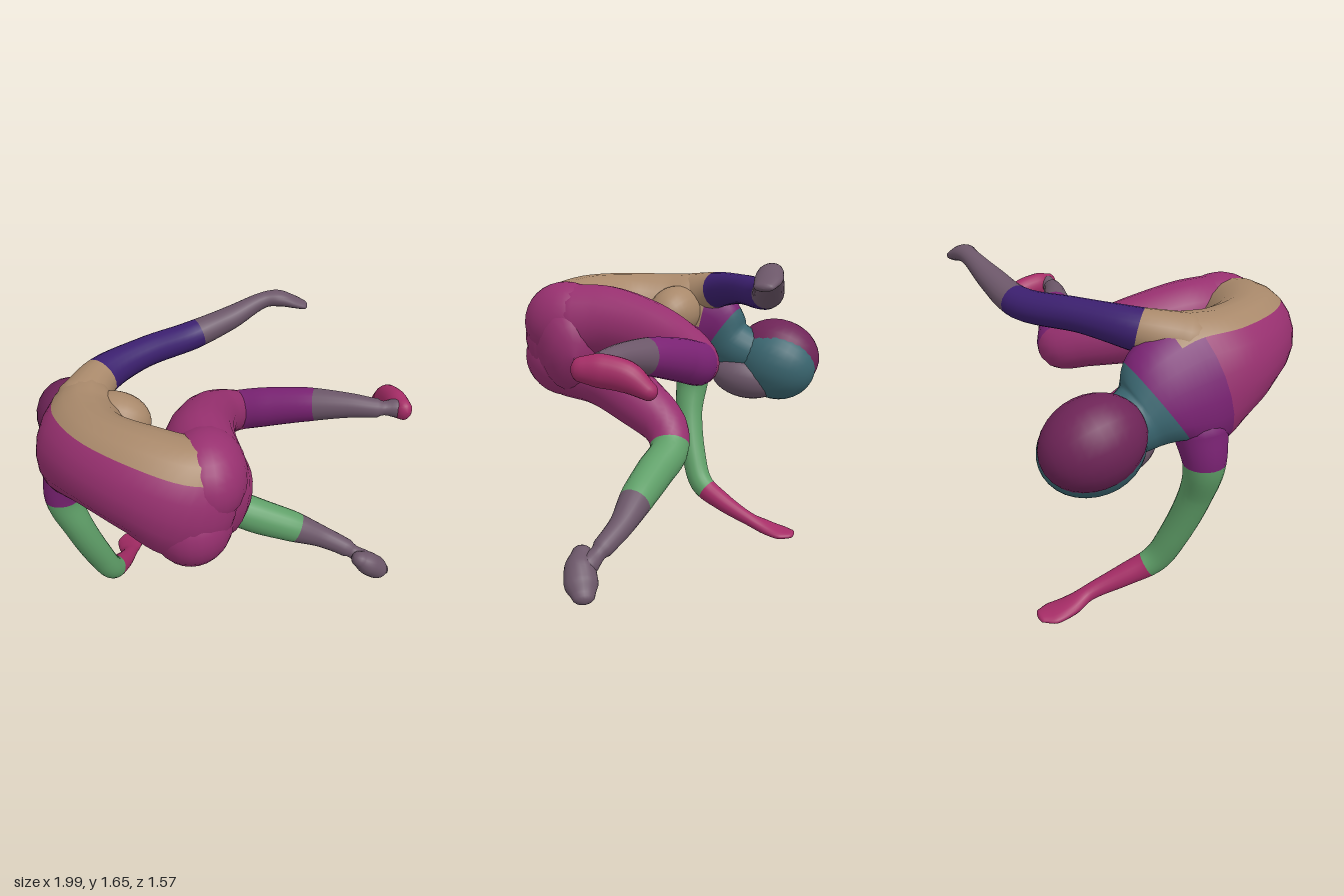
import * as THREE from 'three';

const V = (a) => new THREE.Vector3(a[0], a[1], a[2]);
const SIDES = 20, STEPS = 6;
const MAGENTA = 0x97306f, PURPLE = 0x7a2273, OLIVE = 0xa8886a, GREEN = 0x5f9f68,
  GREY = 0x6b5668, INDIGO = 0x3b1f6e, TEAL = 0x3a6670, PINK = 0xa52c66;

function addMesh(parent, geometry, color, name) {
  const mesh = new THREE.Mesh(geometry, new THREE.MeshStandardMaterial({ color }));
  mesh.name = name;
  parent.add(mesh);
}

// Loft through sections [x, y, z, radius along up, radius across].
// paint(u, angle) picks the colour of each face; every colour becomes a mesh.
function loft(name, sections, paint, upA = [0, 1, 0], upB = upA) {
  const path = new THREE.CatmullRomCurve3(sections.map(V));
  const radii = new THREE.CatmullRomCurve3(sections.map((s) => new THREE.Vector3(s[3], s[4], 0)));
  const rows = [];
  const n = (sections.length - 1) * STEPS;
  const row = (u, scale, shift) => {
    const t = path.getTangent(u), r = radii.getPoint(u);
    const up = V(upA).lerp(V(upB), u);
    up.addScaledVector(t, -up.dot(t)).normalize();
    const p = path.getPoint(u).addScaledVector(t, shift * Math.min(r.x, r.y));
    rows.push({ u, p, up, side: t.clone().cross(up), a: r.x * scale, b: r.y * scale });
  };
  // rounded start, body, rounded end
  const cap = [0.02, 0.35, 0.7, 1.1].map((a) => [Math.sin(a), Math.cos(a)]);
  cap.forEach(([s, c]) => row(0, s, -c));
  for (let i = 0; i <= n; i++) row(i / n, 1, 0);
  cap.reverse().forEach(([s, c]) => row(1, s, c));

  const pos = [], all = [], byColor = new Map();
  rows.forEach((r, i) => {
    for (let j = 0; j < SIDES; j++) {
      const ang = (j / SIDES) * Math.PI * 2;
      const q = r.p.clone().addScaledVector(r.up, Math.cos(ang) * r.a).addScaledVector(r.side, Math.sin(ang) * r.b);
      pos.push(q.x, q.y, q.z);
      if (i === rows.length - 1) continue;
      const k = (j + 1) % SIDES, a = i * SIDES + j, b = i * SIDES + k;
      const face = [a, b, a + SIDES, b, b + SIDES, a + SIDES];
      const color = paint(r.u, ang);
      if (!byColor.has(color)) byColor.set(color, []);
      byColor.get(color).push(...face);
      all.push(...face);
    }
  });
  const whole = new THREE.BufferGeometry();
  whole.setAttribute('position', new THREE.Float32BufferAttribute(pos, 3));
  whole.setIndex(all);
  whole.computeVertexNormals();
  const group = new THREE.Group();
  group.name = name;
  let part = 1;
  for (const [color, index] of byColor) {
    const g = whole.clone();
    g.setIndex(index);
    addMesh(group, g, color, `${name}Section${part++}`);
  }
  return group;
}

// Colour bands along a limb: [end u, colour] pairs
const bands = (...list) => (u) => list.find(([end]) => u <= end)[1];

// Ellipsoid whose second radius points along dir
function ellipsoid(parent, name, color, center, size, dir = [0, 1, 0]) {
  const turn = new THREE.Quaternion().setFromUnitVectors(new THREE.Vector3(0, 1, 0), V(dir).normalize());
  const g = new THREE.SphereGeometry(1, 24, 16).scale(...size).applyQuaternion(turn).translate(...center);
  addMesh(parent, g, color, name);
}

export function createModel() {
  const figure = new THREE.Group();
  figure.name = 'acrobaticFigure';

  // Curled torso from pelvis to neck, narrowed at the waist
  figure.add(loft('torso', [
    [-0.03, 1.15, 0.47, 0.26, 0.18], [-0.14, 1.18, 0.545, 0.3, 0.23], [-0.32, 1.245, 0.51, 0.255, 0.23],
    [-0.53, 1.27, 0.375, 0.23, 0.21], [-0.64, 1.24, 0.2, 0.26, 0.22], [-0.69, 1.2, 0.03, 0.31, 0.19],
    [-0.72, 1.16, -0.12, 0.26, 0.15], [-0.72, 1.08, -0.24, 0.16, 0.135], [-0.74, 1.04, -0.36, 0.13, 0.13],
  ], (u, a) => {
    if (u > 0.78) return TEAL;
    return Math.cos(a) > 0.55 && u > 0.03 && u < 0.68 ? OLIVE : u > 0.6 ? PURPLE : MAGENTA;
  }, [0.1, 1, 0], [0.4, 0.88, -0.3]));

  // Glutes and chest
  ellipsoid(figure, 'upperGlute', MAGENTA, [-0.06, 1.27, 0.5], [0.19, 0.22, 0.24]);
  ellipsoid(figure, 'lowerGlute', MAGENTA, [-0.13, 1.07, 0.54], [0.2, 0.22, 0.24]);
  ellipsoid(figure, 'upperBreast', OLIVE, [-0.5, 1.3, 0.04], [0.14, 0.18, 0.14], [1, -0.1, 0.15]);
  ellipsoid(figure, 'lowerBreast', PURPLE, [-0.56, 1.04, -0.02], [0.14, 0.17, 0.15], [1, -0.4, 0]);

  // Upper leg, folded at the knee, with foot
  figure.add(loft('upperLeg', [
    [-0.06, 1.28, 0.45, 0.2, 0.18], [-0.085, 1.285, 0.27, 0.19, 0.175], [-0.05, 1.24, 0.0, 0.165, 0.145],
    [0.02, 1.19, -0.2, 0.13, 0.118], [0.12, 1.145, -0.32, 0.11, 0.1], [0.27, 1.185, -0.28, 0.105, 0.095],
    [0.48, 1.235, -0.21, 0.09, 0.085], [0.68, 1.26, -0.15, 0.065, 0.062], [0.82, 1.26, -0.12, 0.05, 0.05],
    [0.92, 1.26, -0.12, 0.05, 0.05],
  ], bands([0.45, MAGENTA], [0.68, PURPLE], [1, GREY])));
  figure.add(loft('upperLegFoot', [
    [0.95, 1.26, -0.1, 0.055, 0.045], [0.925, 1.255, -0.18, 0.072, 0.06],
    [0.905, 1.235, -0.28, 0.068, 0.06], [0.89, 1.18, -0.37, 0.04, 0.045],
  ], () => PINK));

  // Lower leg with foot
  figure.add(loft('lowerLeg', [
    [-0.13, 1.04, 0.5, 0.2, 0.18], [-0.13, 0.99, 0.33, 0.18, 0.17], [-0.09, 0.87, 0.1, 0.15, 0.145],
    [-0.035, 0.755, -0.08, 0.12, 0.12], [0.05, 0.66, -0.14, 0.1, 0.1], [0.22, 0.585, -0.125, 0.1, 0.095],
    [0.42, 0.515, -0.115, 0.088, 0.085], [0.6, 0.44, -0.11, 0.06, 0.06], [0.74, 0.38, -0.08, 0.05, 0.05],
    [0.83, 0.33, -0.05, 0.05, 0.05],
  ], bands([0.42, MAGENTA], [0.67, GREEN], [1, GREY])));
  figure.add(loft('lowerLegFoot', [
    [0.8, 0.36, -0.005, 0.045, 0.05], [0.85, 0.32, -0.02, 0.065, 0.072],
    [0.9, 0.27, -0.05, 0.065, 0.078], [0.94, 0.235, -0.08, 0.04, 0.055],
  ], () => GREY));

  // Raised arm reaching sideways, ending in a flat hand
  figure.add(loft('upperArmAndHand', [
    [-0.66, 1.37, 0.0, 0.13, 0.13], [-0.58, 1.42, -0.18, 0.1, 0.1], [-0.38, 1.455, -0.38, 0.078, 0.08],
    [-0.12, 1.465, -0.58, 0.075, 0.08], [0.08, 1.53, -0.65, 0.062, 0.068], [0.27, 1.61, -0.71, 0.042, 0.046],
    [0.35, 1.615, -0.72, 0.042, 0.058], [0.42, 1.595, -0.73, 0.032, 0.062], [0.49, 1.572, -0.73, 0.02, 0.047],
  ], bands([0.12, OLIVE], [0.39, INDIGO], [1, GREY])));

  // Supporting arm bent at the elbow, hand on the ground
  figure.add(loft('lowerArmAndHand', [
    [-0.77, 1.0, 0.03, 0.13, 0.12], [-0.8, 0.84, 0.04, 0.1, 0.095], [-0.74, 0.65, 0.035, 0.08, 0.08],
    [-0.655, 0.4, -0.03, 0.07, 0.075], [-0.6, 0.25, -0.1, 0.068, 0.065], [-0.56, 0.17, -0.24, 0.055, 0.055],
    [-0.53, 0.095, -0.42, 0.038, 0.042], [-0.54, 0.055, -0.52, 0.036, 0.065], [-0.54, 0.035, -0.61, 0.028, 0.078],
    [-0.54, 0.035, -0.67, 0.018, 0.05],
  ], bands([0.1, PURPLE], [0.48, GREEN], [1, PINK]), [0, 0, -1], [0, 1, 0]));

  // Head, with jaw and hair
  const head = new THREE.Group();
  head.name = 'head';
  ellipsoid(head, 'skull', TEAL, [-0.76, 0.99, -0.48], [0.19, 0.24, 0.21], [0.1, -0.25, -1]);
  ellipsoid(head, 'jaw', GREY, [-0.68, 0.91, -0.33], [0.115, 0.2, 0.12], [-0.2, -0.2, -1]);
  ellipsoid(head, 'hair', 0x6e2457, [-0.8, 1.035, -0.49], [0.195, 0.24, 0.205], [-0.05, -0.3, -1]);
  figure.add(head);

  return figure;
}
